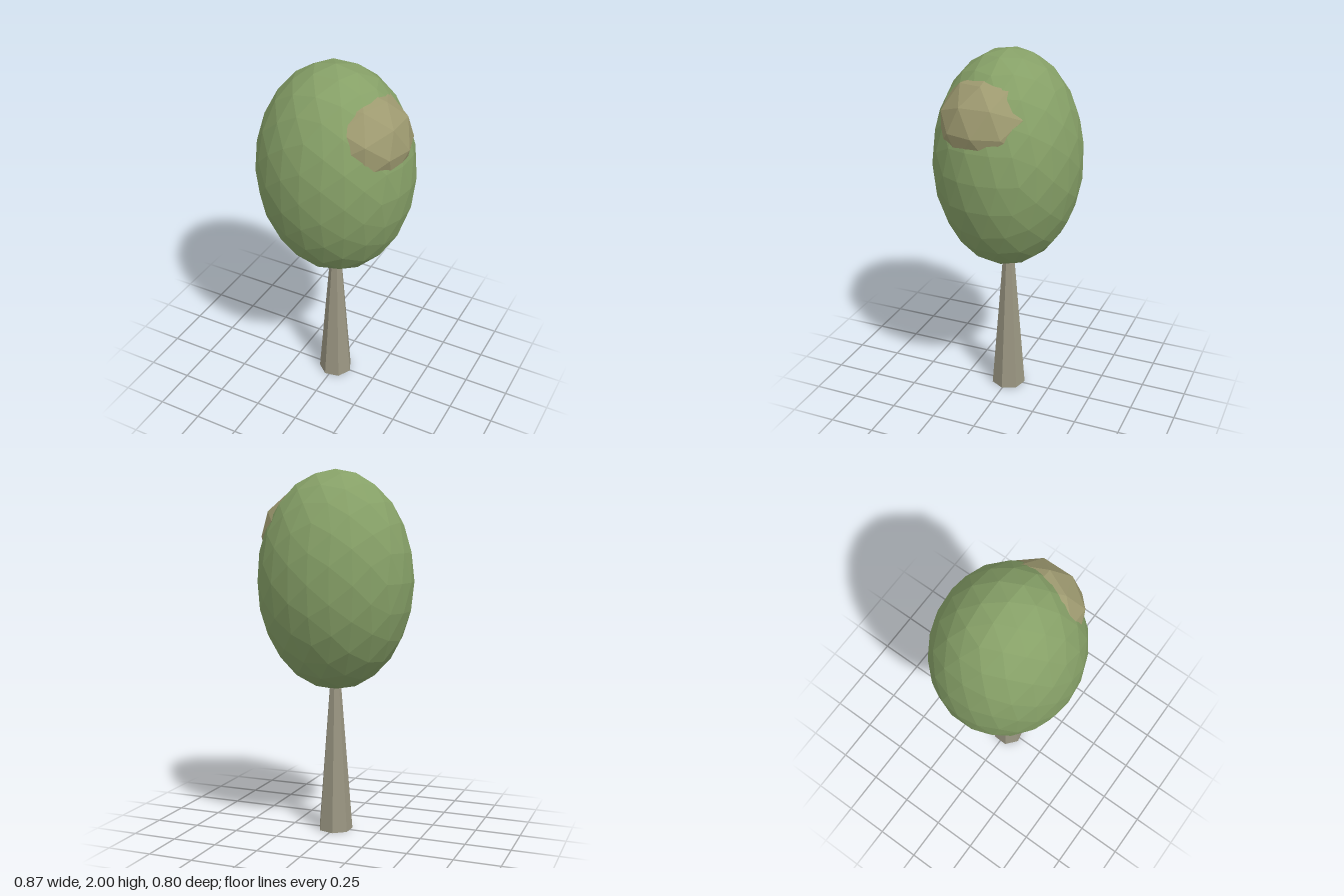
import * as THREE from 'three';

// Icosahedron whose faces are split into four `levels` times, pushed out to the unit sphere each time
function icosphere(levels) {
  let points = new THREE.IcosahedronGeometry(1, 0).getAttribute('position');
  let corners = [];
  for (let i = 0; i < points.count; i++) {
    corners.push(new THREE.Vector3().fromBufferAttribute(points, i));
  }
  const middle = (p, q) => p.clone().add(q).normalize();
  for (let level = 0; level < levels; level++) {
    const next = [];
    for (let i = 0; i < corners.length; i += 3) {
      const [a, b, c] = corners.slice(i, i + 3);
      const ab = middle(a, b), bc = middle(b, c), ca = middle(c, a);
      next.push(a, ab, ca, ab, b, bc, ca, bc, c, ab, bc, ca);
    }
    corners = next;
  }
  const geometry = new THREE.BufferGeometry().setFromPoints(corners);
  geometry.computeVertexNormals();
  return geometry;
}

function part(name, geometry, color) {
  geometry.computeVertexNormals();
  const mesh = new THREE.Mesh(geometry, new THREE.MeshStandardMaterial({ color, flatShading: true }));
  mesh.name = name;
  return mesh;
}

export function createModel() {
  const tree = new THREE.Group();
  tree.name = 'tree';

  // Seven-sided tapering trunk, its tip hidden inside the crown
  const trunkHeight = 0.9;
  const trunk = part('trunk',
    new THREE.CylinderGeometry(0.026, 0.097, trunkHeight, 7, 1, false, THREE.MathUtils.degToRad(-14.5)),
    0x9a9682);
  trunk.position.y = trunkHeight / 2;

  // Tall egg-shaped crown
  const crown = part('crown', icosphere(2).scale(0.433, 0.6, 0.4), 0x86a067);
  crown.position.y = 1.4;

  // Pale leaf clump bulging from the upper left of the crown
  const clump = part('leafClump', icosphere(1).scale(0.275, 0.275, 0.275), 0x9e9a70);
  clump.position.set(0.153, 1.637, 0.028);

  tree.add(trunk, crown, clump);
  return tree;
}
